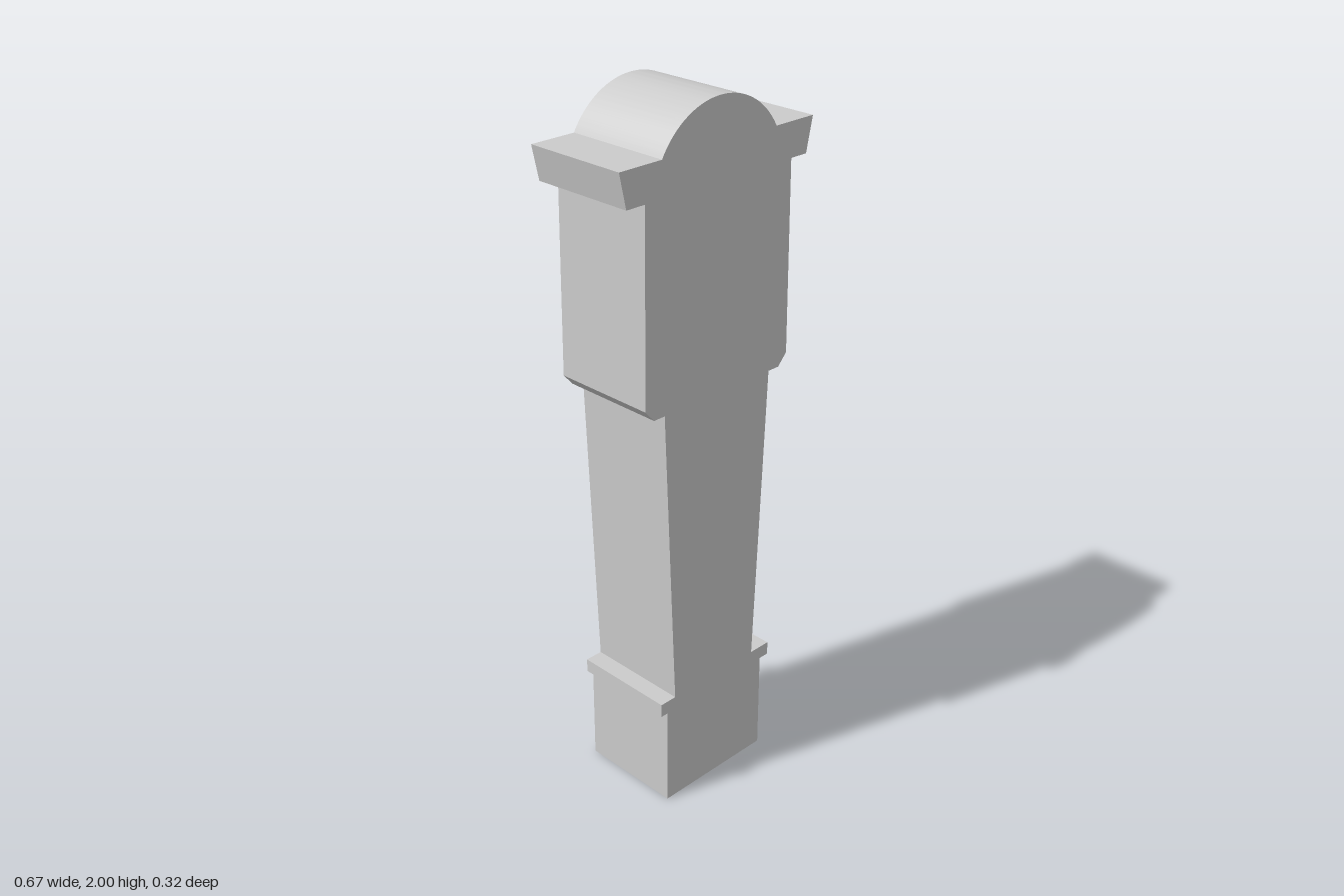
import * as THREE from 'three';
import { toCreasedNormals } from 'three/addons/utils/BufferGeometryUtils.js';

const BACK = -0.149, FRONT = 0.157; // depth shared by the whole case

export function createModel() {
  const clock = new THREE.Group();
  clock.name = 'longcaseClock';
  const material = new THREE.MeshStandardMaterial({ color: 0xcccccc });

  const add = (name, geometry) => {
    const mesh = new THREE.Mesh(geometry, material);
    mesh.name = name;
    clock.add(mesh);
    return mesh;
  };

  // Extrude a front outline through the depth of the case
  const slab = (name, shape) => {
    const geometry = new THREE.ExtrudeGeometry(shape, {
      depth: FRONT - BACK, bevelEnabled: false, curveSegments: 32,
    });
    geometry.translate(0, 0, BACK);
    return add(name, toCreasedNormals(geometry, 0.5));
  };
  const outline = (points) => new THREE.Shape(points.map(([x, y]) => new THREE.Vector2(x, y)));

  // Plinth and its projecting moulding
  slab('base', outline([[-0.185, 0], [0.193, 0], [0.193, 0.3], [-0.185, 0.3]]));
  slab('baseMoulding', outline([[-0.207, 0.3], [0.225, 0.3], [0.225, 0.34], [-0.207, 0.34]]));

  // Trunk widening upwards
  slab('trunk', outline([[-0.154, 0.34], [0.155, 0.34], [0.194, 1.222], [-0.191, 1.222]]));

  // Hood with clipped lower corners
  slab('hood', outline([
    [-0.228, 1.222], [0.232, 1.222], [0.262, 1.255],
    [0.256, 1.79], [-0.253, 1.79], [-0.257, 1.255],
  ]));

  // Flared cornice
  slab('cornice', outline([[-0.312, 1.79], [0.312, 1.79], [0.333, 1.885], [-0.333, 1.885]]));

  // Arched pediment: circular segment from its half width and rise
  const half = 0.197, rise = 0.115;
  const radius = (half * half + rise * rise) / (2 * rise);
  const angle = Math.asin(half / radius);
  const arch = new THREE.Shape();
  arch.absarc(0, 2 - radius, radius, Math.PI / 2 - angle, Math.PI / 2 + angle, false);
  arch.closePath();
  slab('archedTop', arch);

  // Round dial on the -z side
  const dial = new THREE.CylinderGeometry(0.213, 0.213, 0.03, 48);
  dial.rotateX(Math.PI / 2);
  add('dial', dial).position.set(0.001, 1.611, -0.144);

  return clock;
}
